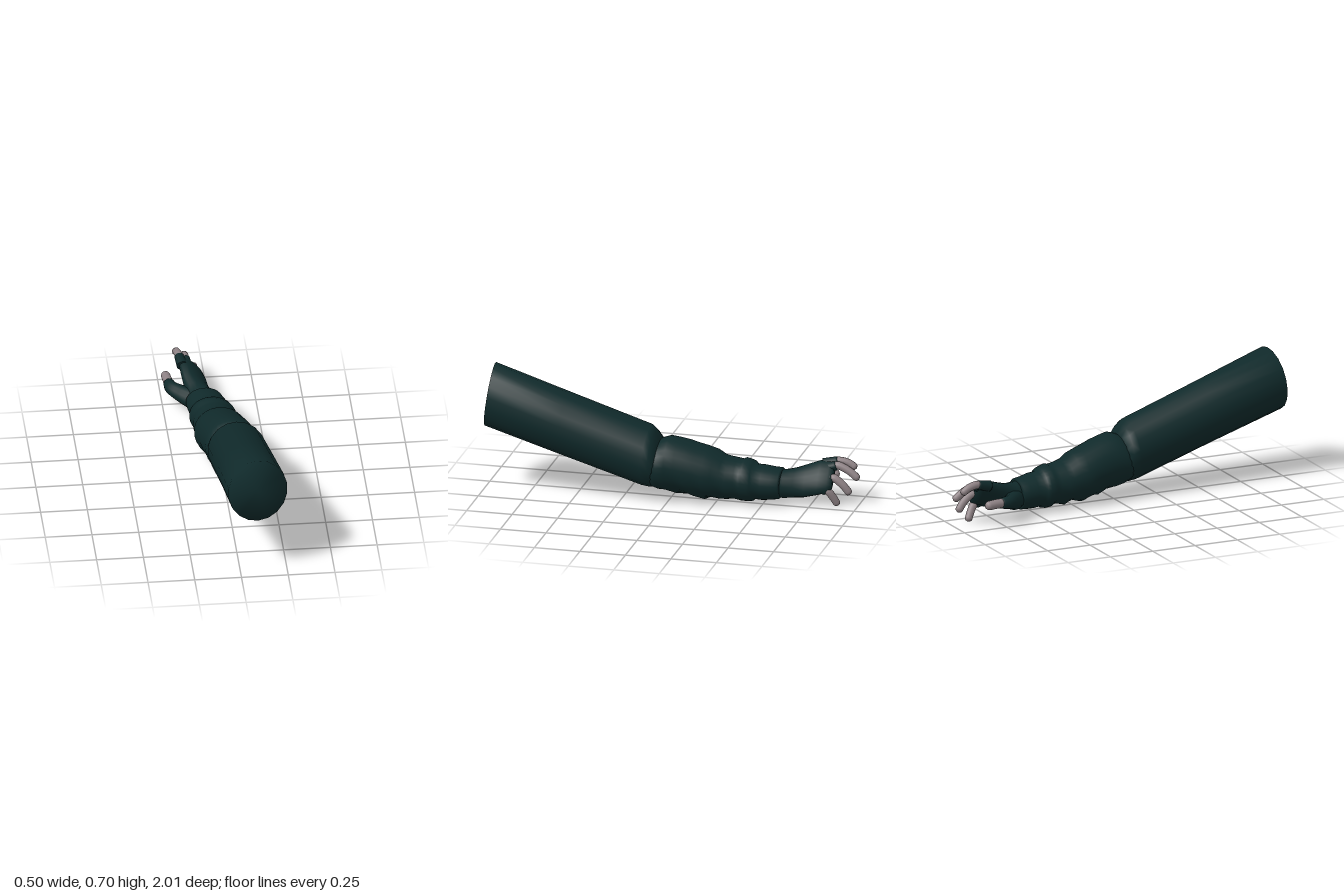
import * as THREE from 'three';

const cloth = new THREE.MeshStandardMaterial({ color: 0x102a2b });
cloth.name = 'darkTealCloth';
const skin = new THREE.MeshStandardMaterial({ color: 0x8f8386 });
skin.name = 'paleSkin';

// Closed smooth skin over a list of rings (each an array of Vector3)
function loft(rings) {
  const n = rings[0].length, pos = [], idx = [];
  rings.forEach(r => r.forEach(p => pos.push(p.x, p.y, p.z)));
  for (let i = 0; i < rings.length - 1; i++) {
    for (let j = 0; j < n; j++) {
      const k = (j + 1) % n, a = i * n + j, b = i * n + k, c = a + n, d = b + n;
      idx.push(a, c, b, b, c, d);
    }
  }
  const last = rings.length - 1;
  for (const e of [0, last]) {
    const mid = new THREE.Vector3();
    rings[e].forEach(p => mid.addScaledVector(p, 1 / n));
    const m = pos.length / 3;
    pos.push(mid.x, mid.y, mid.z);
    for (let j = 0; j < n; j++) {
      const a = e * n + j, b = e * n + (j + 1) % n;
      if (e === 0) idx.push(m, a, b); else idx.push(m, b, a);
    }
  }
  const g = new THREE.BufferGeometry();
  g.setAttribute('position', new THREE.Float32BufferAttribute(pos, 3));
  g.setIndex(idx);
  g.computeVertexNormals();
  return g;
}

function add(group, name, geometry, material) {
  const mesh = new THREE.Mesh(geometry, material);
  mesh.name = name;
  group.add(mesh);
}

// Ring between a top point (zT, yT) and a bottom point (zB, yB), from xL to xR
function sleeveRing([zT, yT, zB, yB, xL, xR, skew = 0], sides) {
  return Array.from({ length: sides }, (_, j) => {
    const a = (j + 0.5) / sides * Math.PI * 2;
    const h = (1 + Math.sin(a)) / 2, c = Math.cos(a);
    return new THREE.Vector3((xL + xR) / 2 + c * (xR - xL) / 2,
      yB + (yT - yB) * h, zB + (zT - zB) * h - skew * c);
  });
}

// Tapered limb along a curve, rounded at its far end
function limb(points, r0, r1, round) {
  const curve = new THREE.CatmullRomCurve3(points.map(p => new THREE.Vector3(...p)));
  const n = 24, sides = 12, f = curve.computeFrenetFrames(n);
  const length = curve.getLength(), rings = [];
  for (let i = 0; i <= n; i++) {
    const t = i / n, s = Math.min(1, (1 - t) * length / round);
    const r = (r0 + (r1 - r0) * t) * Math.max(0.02, Math.sqrt(1 - (1 - s) ** 2));
    const p = curve.getPointAt(t);
    rings.push(Array.from({ length: sides }, (_, j) => {
      const a = j / sides * Math.PI * 2;
      return p.clone().addScaledVector(f.normals[i], r * Math.cos(a))
        .addScaledVector(f.binormals[i], -r * Math.sin(a));
    }));
  }
  return loft(rings);
}

export function createModel() {
  const arm = new THREE.Group();
  arm.name = 'arm';

  // Straight upper sleeve with a slanted end
  const upper = [
    [0.95, 0.698, 1.0, 0.354, -0.07, 0.25, 0.016],
    [0.55, 0.562, 0.58, 0.222, -0.08, 0.236],
    [0.10, 0.411, 0.14, 0.082, -0.094, 0.216],
    [0.075, 0.385, 0.09, 0.075, -0.092, 0.211],
    [0.04, 0.33, 0.04, 0.08, -0.085, 0.195],
  ];
  add(arm, 'upperSleeve', loft(upper.map(r => sleeveRing(r, 18))), cloth);

  // Forearm sleeve with bunched folds
  const fore = [
    [0.08, 0.32, 0.10, 0.085, -0.08, 0.195],
    [0.04, 0.342, 0.05, 0.067, -0.096, 0.205],
    [0.00, 0.355, 0.00, 0.06, -0.099, 0.196],
    [-0.05, 0.346, -0.05, 0.05, -0.106, 0.185],
    [-0.10, 0.334, -0.10, 0.04, -0.115, 0.177],
    [-0.15, 0.317, -0.14, 0.034, -0.123, 0.168],
    [-0.20, 0.302, -0.19, 0.018, -0.131, 0.158],
    [-0.25, 0.285, -0.23, 0.024, -0.13, 0.144],
    [-0.29, 0.258, -0.27, 0.027, -0.125, 0.13],
    [-0.32, 0.25, -0.31, 0.018, -0.127, 0.124],
    [-0.36, 0.243, -0.36, 0.024, -0.123, 0.11],
    [-0.385, 0.238, -0.385, 0.021, -0.125, 0.108],
    [-0.40, 0.245, -0.40, 0.014, -0.135, 0.112],
    [-0.425, 0.238, -0.43, 0.012, -0.138, 0.106],
    [-0.445, 0.230, -0.45, 0.016, -0.136, 0.102],
    [-0.46, 0.212, -0.46, 0.026, -0.126, 0.088],
    [-0.50, 0.210, -0.50, 0.022, -0.131, 0.084],
    [-0.55, 0.200, -0.55, 0.025, -0.137, 0.07],
    [-0.59, 0.196, -0.585, 0.029, -0.141, 0.06],
    [-0.598, 0.188, -0.593, 0.036, -0.132, 0.05],
  ];
  const rings = fore.map(r => sleeveRing(r, 28));
  // Small wrinkles, strongest on the underside
  rings.forEach((ring, i) => {
    if (i < 2 || i > 11) return;
    ring.forEach((p, j) => {
      const a = (j + 0.5) / 28 * Math.PI * 2;
      const w = 0.005 * Math.max(0, 0.3 - Math.sin(a)) * Math.sin(i * 2.4 + j * 0.9);
      p.x += w * Math.cos(a);
      p.y += w * Math.sin(a);
    });
  });
  add(arm, 'forearmSleeve', loft(rings), cloth);

  // Rolled palm: centre x, y, z, half breadth, half thickness
  const palm = [
    [-0.045, 0.11, -0.57, 0.078, 0.076],
    [-0.047, 0.11, -0.61, 0.078, 0.072],
    [-0.06, 0.115, -0.66, 0.083, 0.062],
    [-0.072, 0.127, -0.72, 0.094, 0.052],
    [-0.08, 0.148, -0.79, 0.101, 0.044],
    [-0.085, 0.157, -0.84, 0.094, 0.037],
    [-0.087, 0.16, -0.865, 0.078, 0.024],
  ];
  const roll = -0.87;
  add(arm, 'glovePalm', loft(palm.map(([x, y, z, u, v]) =>
    Array.from({ length: 20 }, (_, j) => {
      const a = j / 20 * Math.PI * 2, p = u * Math.cos(a), q = v * Math.sin(a);
      return new THREE.Vector3(x + p * Math.cos(roll) - q * Math.sin(roll),
        y + p * Math.sin(roll) + q * Math.cos(roll), z);
    }))), cloth);

  // Fingers: knuckle, glove edge, bend, tip
  const fingers = {
    index: [[-0.138, 0.208, -0.80], [-0.15, 0.227, -0.88], [-0.156, 0.217, -0.93], [-0.158, 0.188, -0.975]],
    middle: [[-0.11, 0.185, -0.80], [-0.116, 0.212, -0.88], [-0.115, 0.185, -0.945], [-0.112, 0.142, -1.0]],
    ring: [[-0.078, 0.14, -0.80], [-0.072, 0.155, -0.87], [-0.073, 0.118, -0.92], [-0.08, 0.066, -0.96]],
    little: [[-0.042, 0.105, -0.79], [-0.043, 0.088, -0.845], [-0.055, 0.05, -0.872], [-0.07, 0.004, -0.895]],
  };
  for (const [name, [knuckle, edge, bend, tip]] of Object.entries(fingers)) {
    add(arm, name + 'GloveFinger', limb([knuckle, edge], 0.03, 0.025, 0.012), cloth);
    const start = edge.map((v, i) => v + (knuckle[i] - v) * 0.3);
    add(arm, name + 'Fingertip', limb([start, edge, bend, tip], 0.022, 0.02, 0.02), skin);
  }

  // Thumb
  add(arm, 'gloveThumb', limb([[-0.09, 0.1, -0.63], [-0.155, 0.113, -0.675],
    [-0.203, 0.124, -0.72], [-0.216, 0.128, -0.775]], 0.058, 0.028, 0.012), cloth);
  add(arm, 'thumbTip', limb([[-0.213, 0.127, -0.75], [-0.219, 0.128, -0.80],
    [-0.226, 0.124, -0.865]], 0.026, 0.025, 0.026), skin);

  return arm;
}
